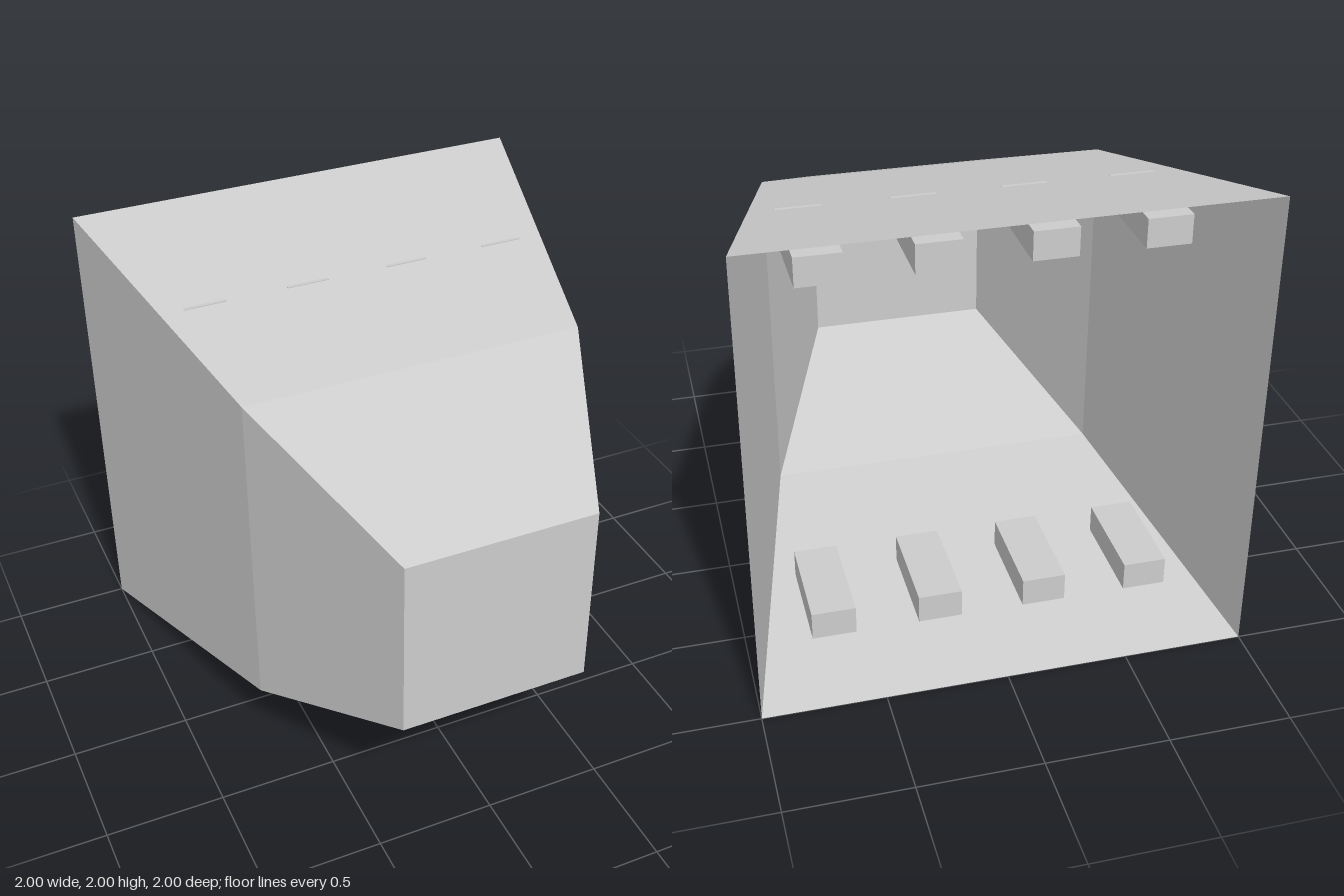
import * as THREE from 'three';

export function createModel() {
  const model = new THREE.Group();
  model.name = 'taperedShell';

  const grey = new THREE.MeshStandardMaterial({ color: 0xcccccc, side: THREE.DoubleSide });
  grey.name = 'light grey';

  const add = (geometry, name, x, y, z) => {
    const mesh = new THREE.Mesh(geometry, grey);
    mesh.name = name;
    mesh.position.set(x, y, z);
    model.add(mesh);
  };

  // Square tapering walls, open at the back: [half width, z] of each section
  const sections = [[1, -1], [0.72, 0.24], [0.4, 1]];
  const profile = sections.map(([half, z]) => new THREE.Vector2(half * Math.SQRT2, z));
  const walls = new THREE.LatheGeometry(profile, 4, Math.PI / 4).toNonIndexed();
  walls.rotateX(Math.PI / 2);
  walls.computeVertexNormals();
  add(walls, 'walls', 0, 1, 0);

  // Flat panel closing the narrow front end
  add(new THREE.PlaneGeometry(0.8, 0.8), 'frontPanel', 0, 1, 1);

  // Rows of blocks along the floor and ceiling, their front edges just piercing the walls
  const block = new THREE.BoxGeometry(0.18, 0.12, 0.43);
  for (const x of [-0.66, -0.22, 0.22, 0.66]) {
    add(block, 'floorBlock', x, 0.209, -0.54);
    add(block, 'ceilingBlock', x, 1.791, -0.54);
  }

  return model;
}
